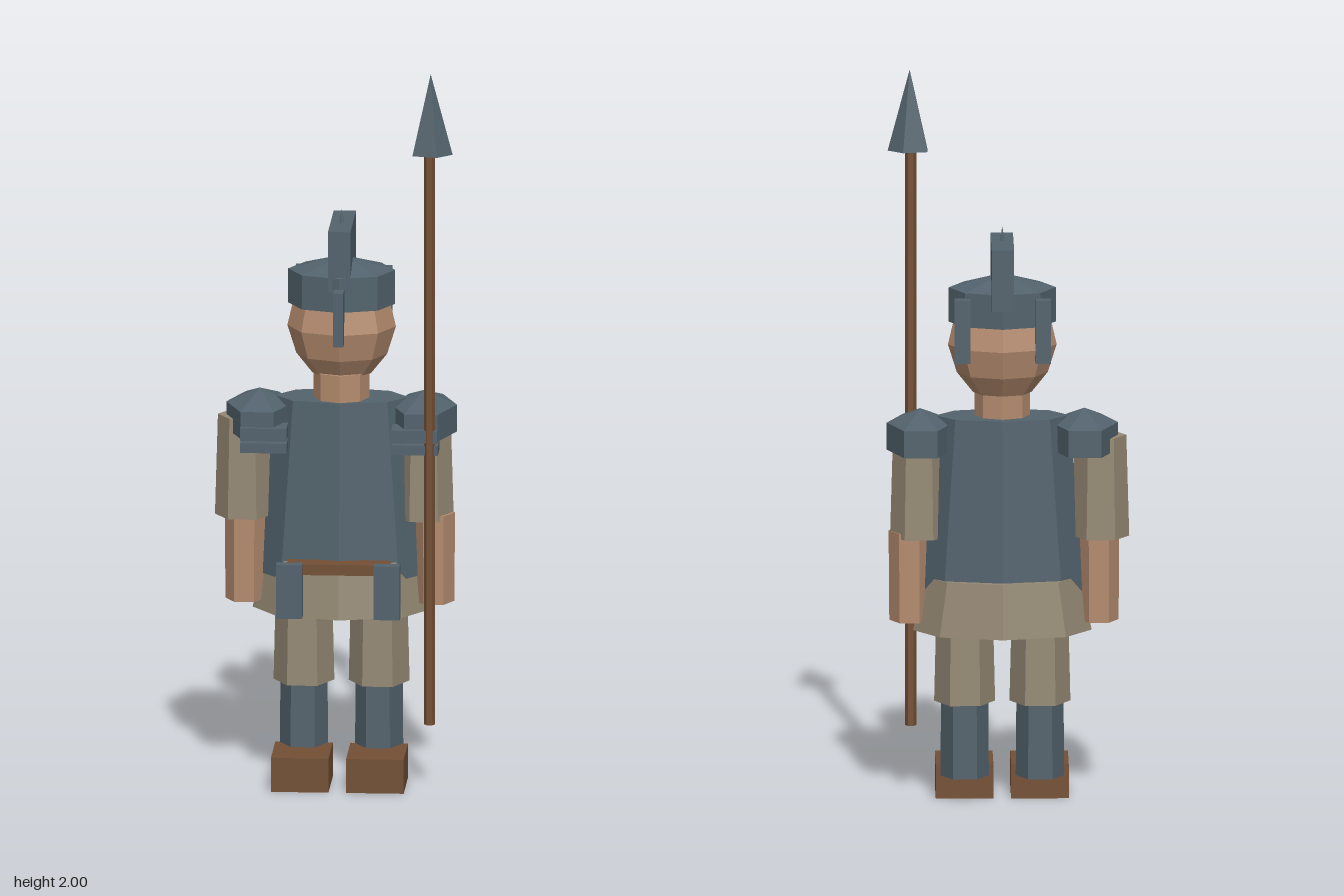
import * as THREE from 'three';

const CX = 0.0145, CZ = -0.02; // body axis

function material(name, color) {
  const m = new THREE.MeshStandardMaterial({ color, flatShading: true });
  m.name = name;
  return m;
}

export function createModel() {
  const root = new THREE.Group();
  root.name = 'spearman';
  const steel = material('steel', 0x52626c);
  const cloth = material('cloth', 0x948873);
  const skin = material('skin', 0xb48b6e);
  const leather = material('leather', 0x734f34);

  function add(name, geometry, mat) {
    const mesh = new THREE.Mesh(geometry, mat);
    mesh.name = name;
    root.add(mesh);
    return mesh;
  }

  // box given by its limits on each axis
  function box(name, mat, [x0, x1], [y0, y1], [z0, z1]) {
    const g = new THREE.BoxGeometry(x1 - x0, y1 - y0, z1 - z0);
    g.translate((x0 + x1) / 2, (y0 + y1) / 2, (z0 + z1) / 2);
    return add(name, g, mat);
  }

  // box given by its centre and width on x
  const slab = (name, mat, x, w, y, z) => box(name, mat, [x - w / 2, x + w / 2], y, z);

  // tapered prism with an elliptical cross-section
  function prism(name, mat, sides, turn, x, z, [y0, y1], rBottom, rTop, zScale = 1) {
    const g = new THREE.CylinderGeometry(rTop, rBottom, y1 - y0, sides);
    g.rotateY(turn).scale(1, 1, zScale).translate(x, (y0 + y1) / 2, z);
    return add(name, g, mat);
  }
  const HEX = Math.PI / 6; // turns hexagon corners to the sides

  // torso
  prism('breastplate', steel, 8, 0, CX, CZ, [0.57, 1.065], 0.228, 0.182, 0.51);
  prism('tunicSkirt', cloth, 8, 0, CX, -0.025, [0.47, 0.62], 0.243, 0.214, 0.605);
  slab('belt', leather, CX, 0.28, [0.6, 0.63], [0.08, 0.139]);
  prism('neck', skin, 8, 0, CX, CZ + 0.01, [1.04, 1.14], 0.076, 0.076);

  // head
  const profile = [[0, 1.11], [0.08, 1.13], [0.124, 1.185], [0.148, 1.262], [0.13, 1.34], [0, 1.4]];
  const head = new THREE.LatheGeometry(profile.map(([r, y]) => new THREE.Vector2(r, y)), 8);
  head.scale(1, 1, 0.84).translate(CX, 0, CZ);
  add('head', head, skin);

  // helmet
  prism('helmetBand', steel, 8, 0, CX, CZ, [1.325, 1.42], 0.146, 0.146, 0.795);
  prism('helmetDome', steel, 8, 0, CX, CZ, [1.42, 1.46], 0.146, 0, 0.795);
  slab('helmetCrest', steel, CX, 0.061, [1.38, 1.55], [-0.16, 0.09]);
  prism('helmetSpike', steel, 6, 0, CX, CZ, [1.54, 1.588], 0.01, 0);
  slab('noseGuard', steel, CX, 0.028, [1.24, 1.39], [0.085, 0.141]);

  // mirrored parts
  for (const s of [-1, 1]) {
    const side = s > 0 ? 'left' : 'right';
    const at = (d) => CX + s * d;

    slab(side + 'NeckGuard', steel, at(0.11), 0.043, [1.23, 1.405], [-0.137, -0.1]);
    slab(side + 'BeltPouch', steel, at(0.133), 0.071, [0.48, 0.63], [0.118, 0.152]);

    // arms, the right one held slightly further out
    const armX = s > 0 ? 0.242 : -0.253;
    const sleeve = prism(side + 'Sleeve', cloth, 6, HEX, 0, 0, [-0.14, 0.14], 0.078, 0.07, 0.97);
    sleeve.position.set(armX, 0.87, CZ);
    prism(side + 'Forearm', skin, 6, HEX, s > 0 ? 0.268 : -0.248, CZ + 0.005, [0.497, 0.745], 0.054, 0.056, 1.1);

    // shoulder guards with two lower strips
    const shoulder = at(0.2235);
    prism(side + 'ShoulderPlate', steel, 6, HEX, shoulder, CZ, [0.97, 1.045], 0.091, 0.091, 1.54);
    prism(side + 'ShoulderCap', steel, 6, HEX, shoulder, CZ, [1.045, 1.085], 0.091, 0, 1.54);
    const stripX = s > 0 ? 0.221 : -0.191;
    slab(side + 'UpperStrip', steel, stripX, 0.127, [0.968, 1.003], [0.04, 0.118]);
    slab(side + 'LowerStrip', steel, stripX, 0.127, [0.933, 0.96], [0.04, 0.112]);

    // legs
    const legX = at(0.1025);
    prism(side + 'Thigh', cloth, 6, HEX, legX, CZ + 0.005, [0.272, 0.6], 0.083, 0.075, 1.1);
    prism(side + 'Greave', steel, 6, HEX, legX, CZ + 0.004, [0.065, 0.3], 0.066, 0.064, 1.07);
    slab(side + 'Boot', leather, legX, 0.157, [0, 0.095], [-0.015, 0.173]);
  }

  // spear
  const SX = 0.262, SZ = 0.107;
  prism('spearShaft', leather, 6, HEX, SX, SZ, [0.18, 1.79], 0.0155, 0.0155);
  prism('spearHead', steel, 5, Math.PI / 2, SX + 0.003, SZ - 0.002, [1.775, 2], 0.06, 0, 0.68);

  return root;
}
